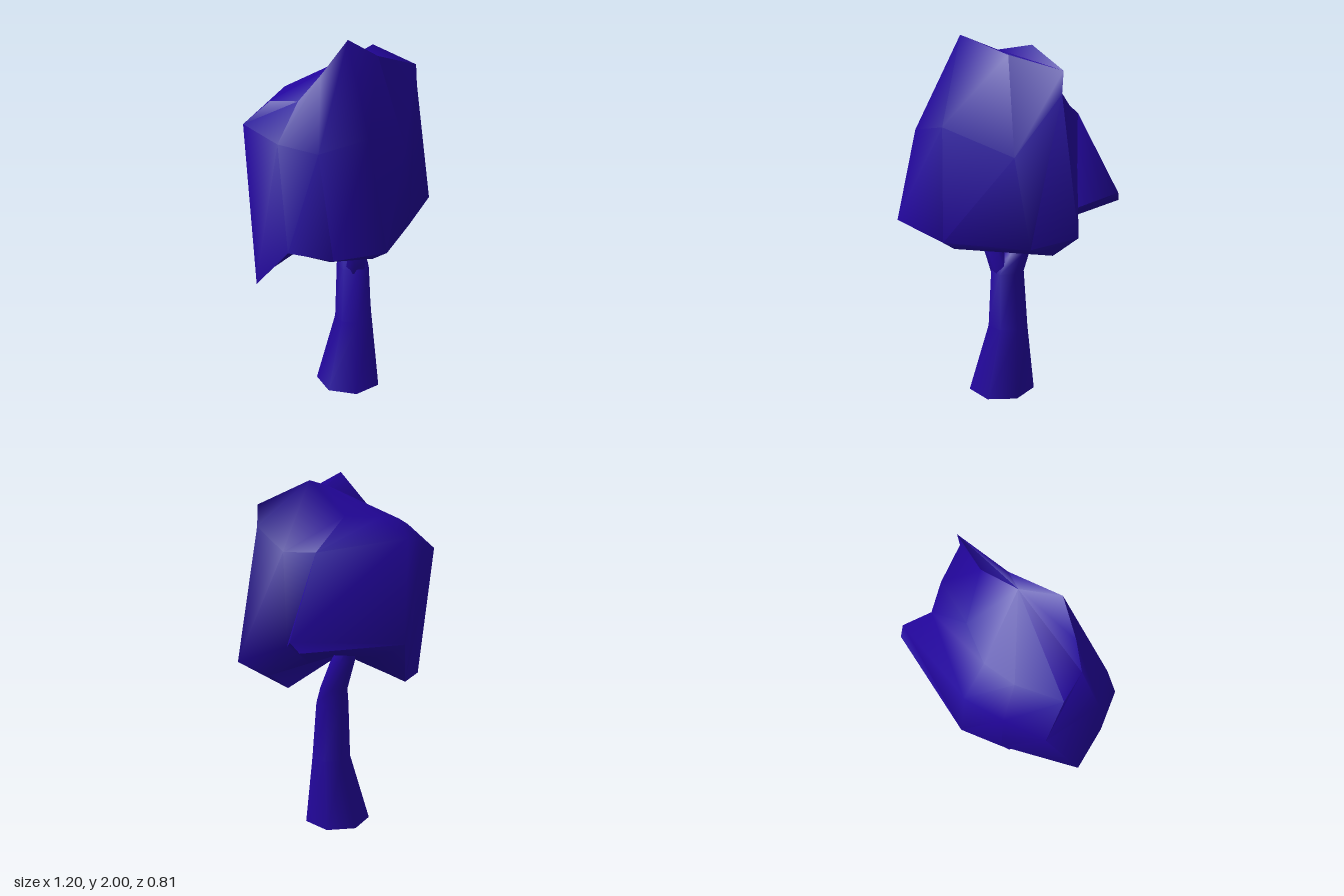
import * as THREE from 'three';
import { toCreasedNormals } from 'three/addons/utils/BufferGeometryUtils.js';

const material = new THREE.MeshStandardMaterial({ color: 0x22059c, side: THREE.DoubleSide });

// Skin a stack of rings (bottom to top); a ring with one point closes the end.
function loft(rings, crease) {
  const pos = [];
  for (let j = 0; j < rings.length - 1; j++) {
    const lo = rings[j], hi = rings[j + 1];
    const n = Math.max(lo.length, hi.length);
    for (let i = 0; i < n; i++) {
      const a = lo[i % lo.length], b = lo[(i + 1) % lo.length];
      const d = hi[i % hi.length], e = hi[(i + 1) % hi.length];
      if (lo.length > 1) pos.push(...b, ...a, ...d);
      if (hi.length > 1) pos.push(...b, ...d, ...e);
    }
  }
  const geometry = new THREE.BufferGeometry();
  geometry.setAttribute('position', new THREE.Float32BufferAttribute(pos, 3));
  return toCreasedNormals(geometry, crease);
}

// Level polygon ring around a centre
function ring([x, y, z, rx, rz], sides) {
  return Array.from({ length: sides }, (_, i) => {
    const t = ((i + 0.5) / sides) * Math.PI * 2;
    return [x + rx * Math.cos(t), y, z + rz * Math.sin(t)];
  });
}

function limb(name, sections, sides) {
  const mesh = new THREE.Mesh(loft(sections.map((s) => ring(s, sides)), 1.2), material);
  mesh.name = name;
  return mesh;
}

export function createModel() {
  const tree = new THREE.Group();
  tree.name = 'tree';

  // Flared trunk that bends back into the main branch
  tree.add(limb('trunk', [
    [0.015, 0, 0.05, 0.19, 0.195],
    [0.06, 0.4, 0.052, 0.115, 0.11],
    [0.055, 0.72, 0.048, 0.09, 0.1],
    [0.085, 0.82, 0.005, 0.07, 0.085],
    [0.11, 1.0, -0.09, 0.06, 0.07],
    [0.12, 1.12, -0.14, 0.03, 0.035],
  ], 7));

  // Small forward branch
  tree.add(limb('sideBranch', [
    [0.05, 0.7, 0.075, 0.075, 0.06],
    [0.02, 0.79, 0.1, 0.06, 0.05],
    [-0.03, 0.89, 0.1, 0.055, 0.04],
    [-0.08, 1.02, 0.1, 0.03, 0.03],
  ], 6));

  // Faceted crown: rings run from the right notch round the front, left and back
  const underside = [
    [0.3, 1.01, -0.02], [0.47, 0.95, 0.1], [0.37, 0.865, 0.07], [-0.11, 0.875, 0.31], [-0.45, 0.96, 0.3],
    [-0.5, 0.97, 0.1], [-0.5, 0.86, -0.04], [-0.15, 0.89, -0.2], [0.02, 1.03, -0.27], [0.58, 1.14, -0.245],
  ];
  const rim = [
    [0.455, 1.12, -0.02], [0.6, 1.03, 0.2], [0.34, 0.93, 0.235], [-0.11, 0.93, 0.4], [-0.49, 0.99, 0.355],
    [-0.57, 1.0, 0.13], [-0.6, 0.79, -0.07], [-0.2, 0.85, -0.28], [-0.03, 1.11, -0.405], [0.6, 1.19, -0.2],
  ];
  const shoulder = [
    [0.45, 1.6, 0.0], [0.47, 1.72, 0.17], [0.25, 1.4, 0.255], [-0.17, 1.53, 0.32], [-0.45, 1.49, 0.23],
    [-0.54, 1.53, 0.05], [-0.47, 1.58, -0.26], [-0.27, 1.63, -0.33], [-0.07, 1.66, -0.38], [0.37, 1.6, -0.15],
  ];
  const top = [
    [0.21, 1.95, 0.05], [0.47, 1.83, 0.16], [0.13, 1.9, 0.145], [-0.16, 2.0, 0.175], [-0.3, 1.84, 0.12],
    [-0.4, 1.72, 0.06], [-0.43, 1.71, -0.1], [-0.22, 1.75, -0.2], [-0.05, 1.76, -0.22], [0.14, 1.77, -0.13],
  ];
  const crown = new THREE.Mesh(
    loft([[[0, 1.0, 0.02]], underside, rim, shoulder, top, [[0.03, 1.925, 0.1]]], 1.2), material);
  crown.name = 'crown';
  tree.add(crown);

  return tree;
}
